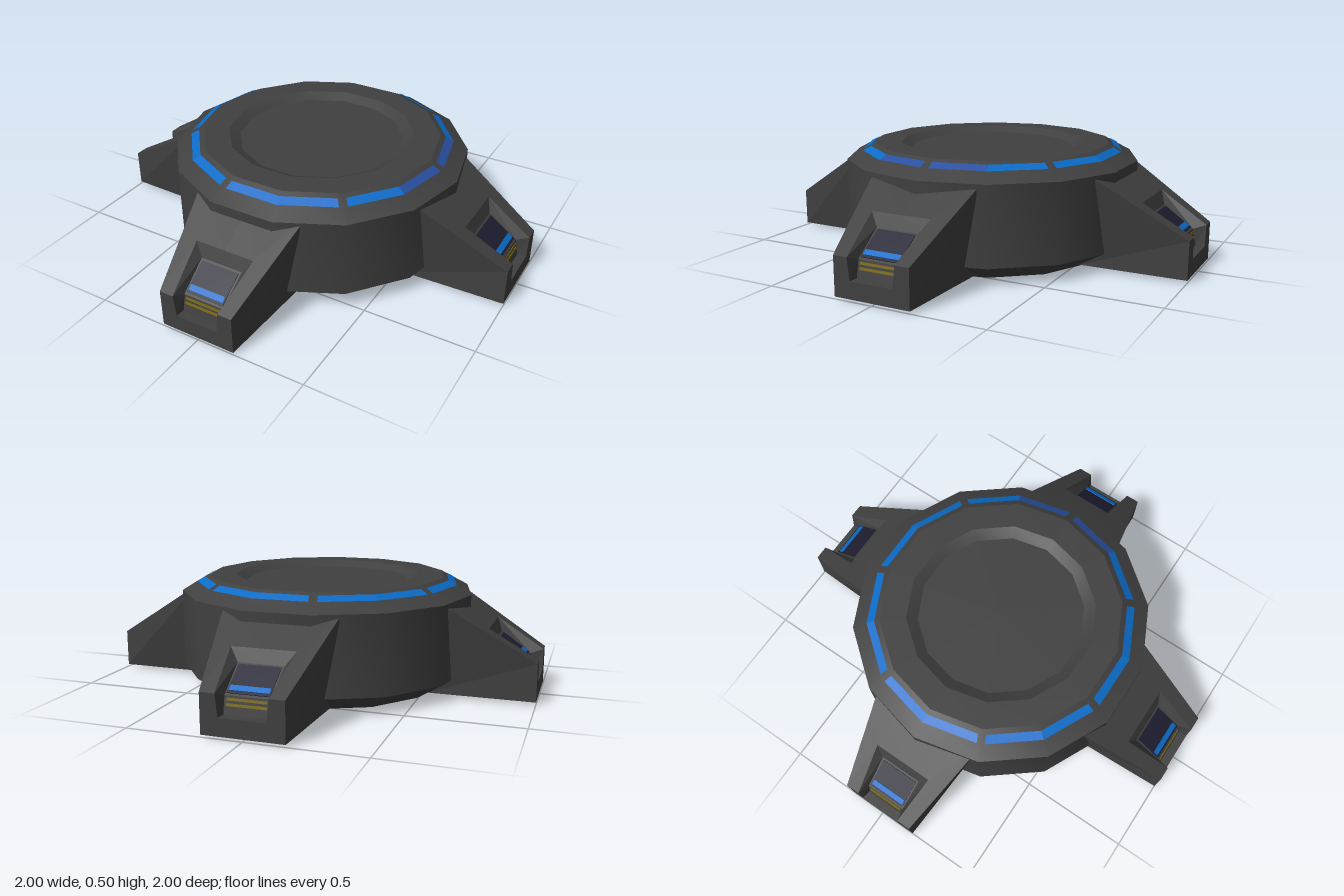
import * as THREE from 'three';
import { toCreasedNormals } from 'three/addons/utils/BufferGeometryUtils.js';

const mat = (name, color) => Object.assign(new THREE.MeshStandardMaterial({ color }), { name });
const SIDES = 14;

// Flat-shaded geometry from convex polygons (counter-clockwise from outside)
function facesGeometry(polygons) {
  const pos = [];
  for (const p of polygons)
    for (let i = 1; i < p.length - 1; i++) pos.push(...p[0], ...p[i], ...p[i + 1]);
  const g = new THREE.BufferGeometry();
  g.setAttribute('position', new THREE.Float32BufferAttribute(pos, 3));
  g.computeVertexNormals();
  return g;
}

// Adds the x-mirrored twin of every polygon
const mirrored = (polys) =>
  polys.concat(polys.map((p) => p.map(([x, y, z]) => [-x, y, z]).reverse()));

function mesh(name, geometry, material) {
  const m = new THREE.Mesh(geometry, material);
  m.name = name;
  return m;
}

// Half of one leg pointing along +z, with a sloping recess open at the tip
function legGeometry() {
  const mid = ([, y, z]) => [0, y, z];
  const topIn = [0.267, 0.448, 0.56], topOut = [0.175, 0.18, 1];
  const botOut = [0.175, 0.01, 1], botIn = [0.195, 0.015, 0.53];
  const rimIn = [0.14, 0.311, 0.785], rimOut = [0.11, 0.18, 1], rimLow = [0.1, 0.085, 1];
  const f0 = [0.1, 0.255, 0.81], f1 = [0.095, 0.16, 0.945], f2 = [0.095, 0.085, 0.96];
  // strip from the centre line out to two neighbouring points
  const strip = (a, b) => [mid(a), mid(b), b, a];
  return facesGeometry(mirrored([
    [botOut, botIn, topIn, topOut],          // side
    strip(botOut, botIn),                    // underside
    strip(topIn, rimIn),                     // top behind recess
    [topIn, rimIn, rimOut, topOut],          // top beside recess
    [rimOut, rimLow, botOut, topOut],        // tip beside recess
    strip(rimLow, botOut),                   // tip below recess
    strip(rimIn, f0), strip(f0, f1), strip(f1, f2), strip(f2, rimLow), // recess floor
    [rimIn, f0, f1, rimOut], [rimOut, f1, f2, rimLow],                 // recess wall
  ]));
}

// One side of the light ring, lying on the upper bevel
function lightSide(k) {
  const point = (r, t) => {
    const a0 = (k / SIDES) * Math.PI * 2, a1 = ((k + 1) / SIDES) * Math.PI * 2;
    const mix = (f) => r * THREE.MathUtils.lerp(f(a0), f(a1), t);
    return [mix(Math.cos), 0.504 - (r - 0.55) * 0.538, mix(Math.sin)];
  };
  const t0 = k % 2 === 0 ? 0.07 : 0, t1 = k % 2 === 0 ? 1 : 0.93;
  return facesGeometry([[point(0.575, t0), point(0.575, t1), point(0.612, t1), point(0.612, t0)]]);
}

export function createModel() {
  const shell = mat('dark grey shell', 0x404040);
  const blue = mat('bright blue light', 0x0a6cc8);
  const dimBlue = mat('muted blue light', 0x2850a0);
  const navy = mat('navy lens', 0x1e1e32);
  const yellow = mat('dull yellow trim', 0x7a6a18);
  const model = new THREE.Group();
  model.name = 'fourLeggedDisc';

  // Disc body with bevelled rims and a shallow dish on top
  const profile = [[0, 0], [0.55, 0], [0.68, 0.08], [0.68, 0.43], [0.55, 0.5],
    [0.43, 0.5], [0.38, 0.474], [0, 0.474]].map(([x, y]) => new THREE.Vector2(x, y));
  const lathe = new THREE.LatheGeometry(profile, SIDES, Math.PI / 2);
  model.add(mesh('discBody', toCreasedNormals(lathe, 0.46), shell));

  // Seven light strips, each bent over two sides
  const ring = new THREE.Group();
  ring.name = 'lightRing';
  for (let k = 0; k < SIDES; k++)
    ring.add(mesh('lightStrip', lightSide(k), k === 0 || k === SIDES - 1 ? dimBlue : blue));
  model.add(ring);

  // Four legs, each with a lens panel, light bar and trim
  const legGeo = legGeometry();
  for (let i = 0; i < 4; i++) {
    const leg = new THREE.Group();
    leg.name = 'leg';
    leg.add(mesh('legShell', legGeo, shell));

    const panel = new THREE.Group();
    panel.name = 'sensorPanel';
    panel.position.set(0, 0.2075, 0.8775);
    panel.rotation.x = Math.atan2(0.095, 0.135);
    const lens = mesh('lens', new THREE.BoxGeometry(0.18, 0.006, 0.145), navy);
    const bar = mesh('lightBar', new THREE.BoxGeometry(0.17, 0.008, 0.026), blue);
    bar.position.set(0, 0.002, 0.048);
    panel.add(lens, bar);
    leg.add(panel);

    for (const y of [0.146, 0.125]) {
      const trim = mesh('trimStripe', new THREE.BoxGeometry(0.17, 0.011, 0.006), yellow);
      trim.position.set(0, y, 0.945 + 0.2 * (0.16 - y));
      trim.rotation.x = -0.2;
      leg.add(trim);
    }
    leg.rotation.y = (i * Math.PI) / 2;
    model.add(leg);
  }
  return model;
}
